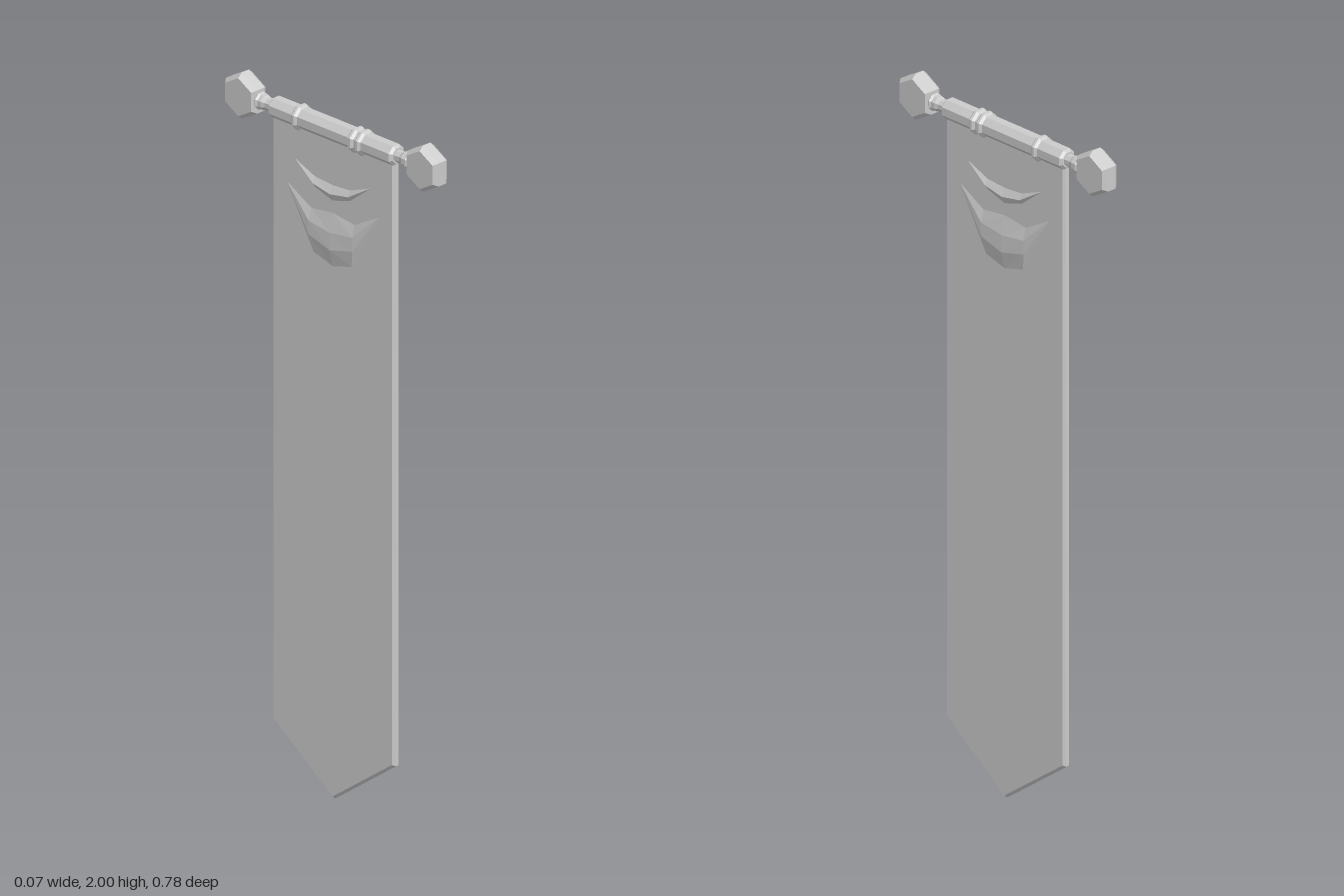
import * as THREE from 'three';

const mat = new THREE.MeshStandardMaterial({ color: 0xcccccc, flatShading: true });
const foldMat = new THREE.MeshStandardMaterial({ color: 0xcccccc, flatShading: true, side: THREE.DoubleSide });
const ROD_Y = 1.934;
const HALF = 0.0125; // half thickness of the cloth

function add(parent, name, geometry, material = mat) {
  const mesh = new THREE.Mesh(geometry, material);
  mesh.name = name;
  parent.add(mesh);
  return mesh;
}

// Eight-sided turned piece along z, from [radius, z] pairs; flat side up
function turned(profile) {
  const pts = profile.map(([r, z]) => new THREE.Vector2(r / Math.cos(Math.PI / 8), z));
  return new THREE.LatheGeometry(pts, 8, Math.PI / 8).rotateX(Math.PI / 2);
}

// Raised cloth fold: rows of [z, y, height] from tip to middle, mirrored in z
function fold(rows, side) {
  const full = rows.map((row) => [...row, ...row.slice(0, -1).reverse().map(([z, y, h]) => [-z, y, h])]);
  const n = full[0].length;
  const pos = [], index = [];
  full.forEach((row) => row.forEach(([z, y, h]) => pos.push(side * (HALF + h), y, z)));
  for (let r = 0; r < full.length - 1; r++) {
    for (let i = 0; i < n - 1; i++) {
      const a = r * n + i, b = a + n;
      if (side > 0) index.push(a, b, a + 1, a + 1, b, b + 1);
      else index.push(a, a + 1, b, a + 1, b + 1, b);
    }
  }
  const g = new THREE.BufferGeometry();
  g.setAttribute('position', new THREE.Float32BufferAttribute(pos, 3));
  g.setIndex(index);
  g.computeVertexNormals();
  return g;
}

export function createModel() {
  const model = new THREE.Group();
  model.name = 'hangingBanner';

  // Pointed cloth with bevelled edges
  const outline = new THREE.Shape([
    [-0.225, 1.935], [-0.225, 0.165], [0, 0], [0.225, 0.165], [0.225, 1.935],
  ].map(([x, y]) => new THREE.Vector2(x, y)));
  const bevel = 0.007;
  const cloth = new THREE.ExtrudeGeometry(outline, {
    depth: 2 * (HALF - bevel), bevelEnabled: true, bevelSegments: 1,
    bevelThickness: bevel, bevelSize: bevel, bevelOffset: -bevel,
  });
  cloth.translate(0, 0, bevel - HALF).rotateY(Math.PI / 2);
  add(model, 'cloth', cloth);

  // Sagging folds on both faces
  const upperFold = [
    [[0.14, 1.815, 0], [0.065, 1.785, 0], [0, 1.78, 0]],
    [[0.14, 1.815, 0], [0.065, 1.768, 0.009], [0, 1.757, 0.011]],
    [[0.14, 1.815, 0], [0.065, 1.755, 0], [0, 1.735, 0]],
  ];
  const lowerFold = [
    [[0.17, 1.74, 0], [0.08, 1.69, 0], [0, 1.70, 0]],
    [[0.17, 1.74, 0], [0.08, 1.655, 0.009], [0, 1.645, 0.011]],
    [[0.17, 1.74, 0], [0.08, 1.615, 0.009], [0, 1.595, 0.012]],
    [[0.17, 1.74, 0], [0.07, 1.565, 0], [0, 1.545, 0]],
  ];
  for (const side of [1, -1]) {
    const label = side > 0 ? 'left' : 'right';
    add(model, label + 'UpperFold', fold(upperFold, side), foldMat);
    add(model, label + 'LowerFold', fold(lowerFold, side), foldMat);
  }

  // Rod with its rings
  const pole = new THREE.Group();
  pole.name = 'pole';
  pole.position.y = ROD_Y;
  model.add(pole);
  add(pole, 'rod', turned([
    [0, -0.228], [0.021, -0.228], [0.028, -0.221], [0.028, 0.221], [0.021, 0.228], [0, 0.228],
  ]));
  for (const z of [-0.127, 0.08, 0.107]) {
    add(pole, 'ring', turned([[0.027, -0.012], [0.034, -0.004], [0.034, 0.004], [0.027, 0.012]])).position.z = z;
  }

  // Neck and bevelled hexagonal knob at each end
  for (const side of [1, -1]) {
    const end = new THREE.Group();
    end.name = side > 0 ? 'frontFinial' : 'backFinial';
    if (side < 0) end.rotation.y = Math.PI;
    pole.add(end);
    add(end, 'neck', turned([
      [0.016, 0.222], [0.016, 0.247], [0.02, 0.258], [0.02, 0.27], [0.024, 0.275], [0.015, 0.288],
    ]));
    const knob = new THREE.LatheGeometry([
      [0, -0.027], [0.055, -0.027], [0.067, -0.014], [0.067, 0.014], [0.055, 0.027], [0, 0.027],
    ].map(([r, x]) => new THREE.Vector2(r, x)), 6, Math.PI / 2);
    add(end, 'knob', knob.rotateZ(-Math.PI / 2)).position.z = 0.334;
  }
  return model;
}
